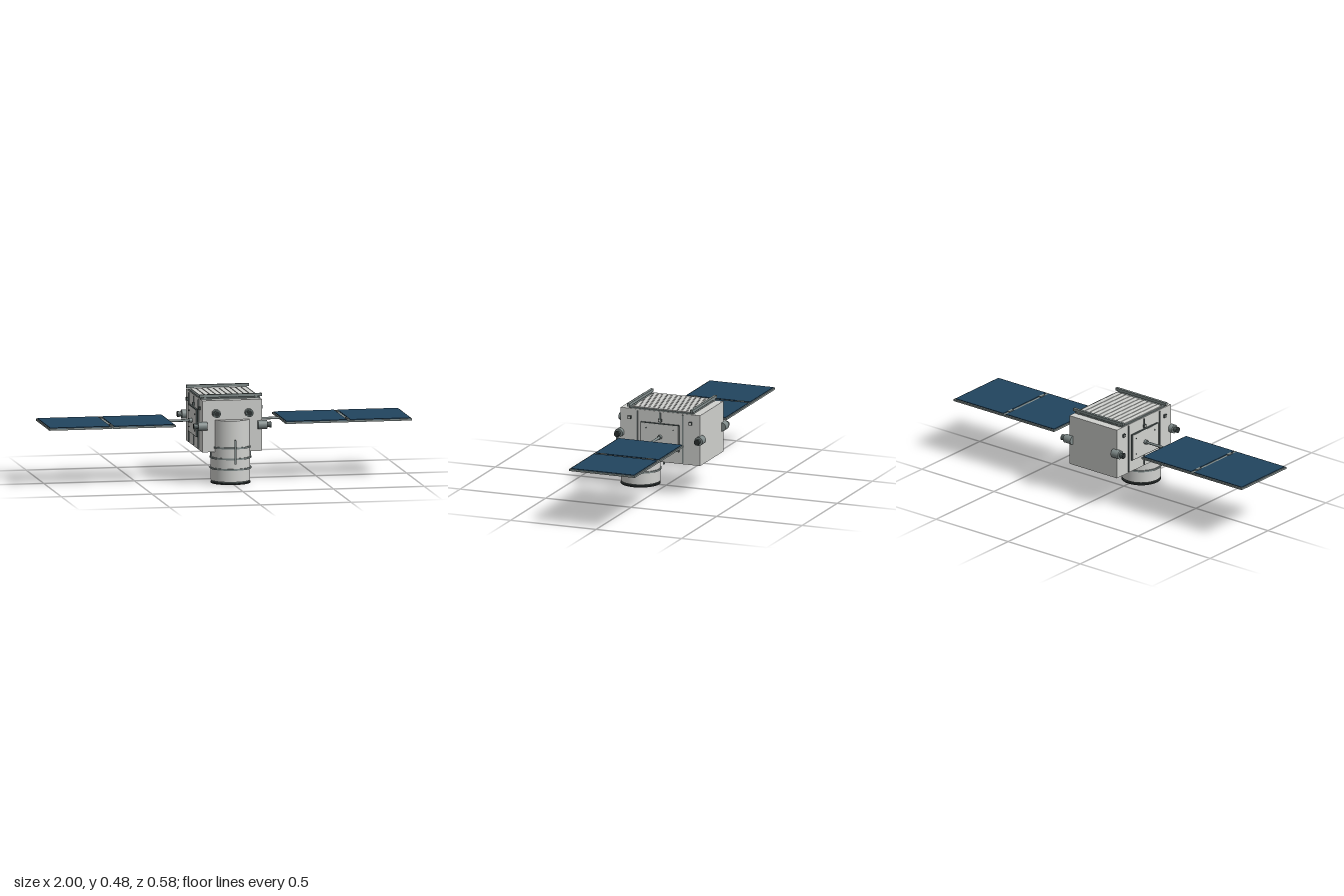
import * as THREE from 'three';

const mat = (name, color, side = THREE.FrontSide) => {
  const m = new THREE.MeshStandardMaterial({ color, side });
  m.name = name;
  return m;
};

export function createModel() {
  const model = new THREE.Group();
  model.name = 'satellite';
  const white = mat('panelWhite', 0xd0d1ce);
  const gold = mat('goldFoil', 0xb98a32);
  const grey = mat('metalGrey', 0x7f8a89);
  const dark = mat('darkMetal', 0x4a5554);
  const black = mat('lensBlack', 0x2b3030);
  const blue = mat('solarBlue', 0x21455f);

  const add = (name, geometry, material, x, y, z, parent = model) => {
    const mesh = new THREE.Mesh(geometry, material);
    mesh.name = name;
    mesh.position.set(x, y, z);
    parent.add(mesh);
    return mesh;
  };
  const box = (name, material, w, h, d, x, y, z, parent) =>
    add(name, new THREE.BoxGeometry(w, h, d), material, x, y, z, parent);
  const cyl = (name, material, r1, r2, h, x, y, z, parent, seg = 32) =>
    add(name, new THREE.CylinderGeometry(r1, r2, h, seg), material, x, y, z, parent);

  // Body with a foil underside
  box('body', [white, white, white, gold, white, white], 0.33, 0.282, 0.466, 0, 0.316, -0.033);

  // Telescope barrel with bands and dark aperture
  const tz = 0.15;
  cyl('telescopeBarrel', white, 0.107, 0.107, 0.335, 0, 0.1825, tz, model, 48);
  for (const y of [0.083, 0.141, 0.2]) cyl('barrelBand', grey, 0.113, 0.113, 0.009, 0, y, tz, model, 48);
  cyl('apertureNeck', dark, 0.095, 0.095, 0.01, 0, 0.011, tz, model, 48);
  cyl('apertureRim', black, 0.108, 0.108, 0.007, 0, 0.0035, tz, model, 48);
  for (const s of [-1, 1]) {
    box('barrelFin', grey, 0.009, 0.133, 0.009, 0, 0.183, tz + s * 0.137);
    box('barrelBracket', grey, 0.009, 0.055, 0.009, s * 0.107, 0.172, tz);
  }

  // Ribbed radiator on the roof
  box('radiatorBase', grey, 0.325, 0.007, 0.372, 0, 0.4605, -0.034);
  const ribs = 10;
  for (let i = 0; i < ribs; i++) {
    box('radiatorRib', white, 0.027, 0.005, 0.336, (i - (ribs - 1) / 2) * 0.031, 0.4655, -0.033);
  }
  for (const z of [0.152, -0.217]) {
    box('roofRail', grey, 0.346, 0.016, 0.015, 0, 0.476, z);
    for (const s of [-1, 1]) box('railFoot', grey, 0.014, 0.014, 0.01, s * 0.14, 0.463, z);
  }

  // Forward sensors
  for (const s of [-1, 1]) {
    const sensor = new THREE.Group();
    sensor.name = 'forwardSensor';
    sensor.position.set(s * 0.09, 0.387, 0.2);
    sensor.rotation.x = Math.PI / 2;
    model.add(sensor);
    cyl('sensorHousing', grey, 0.022, 0.022, 0.03, 0, 0.015, 0, sensor);
    cyl('sensorRim', dark, 0.018, 0.018, 0.006, 0, 0.032, 0, sensor);
    cyl('sensorLens', black, 0.013, 0.013, 0.002, 0, 0.0355, 0, sensor);
  }

  // Everything on one flank, mirrored by sign
  for (const s of [-1, 1]) {
    const flank = new THREE.Group();
    flank.name = s > 0 ? 'leftFlank' : 'rightFlank';
    model.add(flank);
    const fx = (d) => s * (0.165 + d);

    // Straps and square latches
    for (const z of [0.101, -0.032, -0.166]) box('strap', grey, 0.008, 0.268, 0.007, fx(0.002), 0.316, z, flank);
    for (const z of [0.145, -0.033, -0.21]) {
      box('latchFrame', dark, 0.012, 0.017, 0.017, fx(0.004), 0.408, z, flank);
      box('latchFace', white, 0.004, 0.011, 0.011, fx(0.009), 0.408, z, flank);
    }

    // Equipment panel with bolts
    box('equipmentPanelEdge', dark, 0.012, 0.149, 0.225, fx(0.004), 0.3165, -0.033, flank);
    box('equipmentPanel', white, 0.004, 0.142, 0.218, fx(0.009), 0.3165, -0.033, flank);
    for (const y of [0.271, 0.361]) for (const z of [0.047, -0.112]) {
      cyl('panelBolt', dark, 0.0035, 0.0035, 0.004, fx(0.012), y, z, flank, 10).rotation.z = Math.PI / 2;
    }

    // Corner thrusters
    for (const z of [0.202, -0.266]) {
      const thruster = new THREE.Group();
      thruster.name = 'thruster';
      thruster.position.set(s * 0.14, 0.318, z);
      thruster.rotation.z = -s * Math.PI / 2;
      flank.add(thruster);
      cyl('thrusterHousing', grey, 0.024, 0.024, 0.05, 0, 0.025, 0, thruster);
      cyl('thrusterNozzle', dark, 0.017, 0.013, 0.023, 0, 0.0615, 0, thruster);
      cyl('nozzleMouth', black, 0.014, 0.014, 0.001, 0, 0.0735, 0, thruster);
    }

    // Solar wing on its boom
    const wing = new THREE.Group();
    wing.name = 'solarWing';
    flank.add(wing);
    cyl('wingBoomSocket', grey, 0.012, 0.012, 0.02, fx(0.018), 0.317, -0.036, wing).rotation.z = Math.PI / 2;
    cyl('wingBoom', grey, 0.007, 0.007, 0.14, s * 0.235, 0.317, -0.036, wing, 16).rotation.z = Math.PI / 2;
    for (const x of [0.4755, 0.827]) {
      box('wingFrame', grey, 0.345, 0.01, 0.386, s * x, 0.316, -0.0335, wing);
      box('solarCells', blue, 0.332, 0.004, 0.37, s * x, 0.323, -0.0335, wing);
    }
    box('wingHinge', grey, 0.012, 0.009, 0.386, s * 0.651, 0.3175, -0.0335, wing);
    for (const z of [0.103, -0.167]) box('hingeLug', grey, 0.016, 0.012, 0.036, s * 0.651, 0.322, z, wing);
  }

  return model;
}
